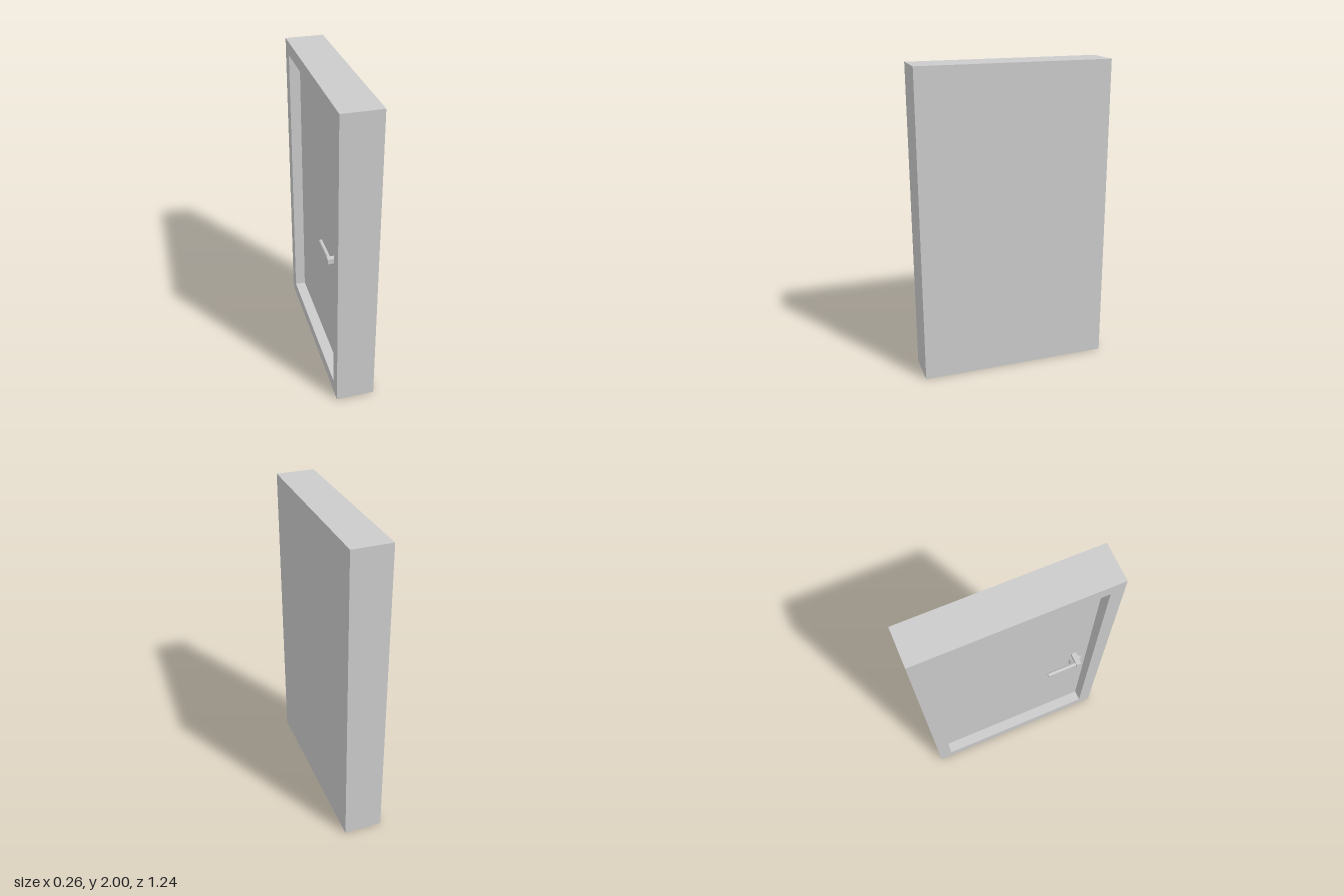
import * as THREE from 'three';

const material = new THREE.MeshStandardMaterial({ color: 0xcccccc });

function part(parent, name, geometry, x, y, z) {
  const mesh = new THREE.Mesh(geometry, material);
  mesh.name = name;
  mesh.position.set(x, y, z);
  parent.add(mesh);
  return mesh;
}

export function createModel() {
  const model = new THREE.Group();
  model.name = 'door';

  const height = 2, width = 1.235, border = 0.086;
  const frontX = -0.117, panelX = -0.047, backX = 0.13;

  // Solid door leaf, flush on the +x side
  part(model, 'doorPanel', new THREE.BoxGeometry(backX - panelX, height, width),
    (panelX + backX) / 2, height / 2, 0);

  // Raised rim around the recessed panel, drawn in z-y and extruded toward -x
  const rectangle = (Type, inset) => {
    const w = width / 2 - inset;
    return new Type([
      new THREE.Vector2(-w, inset), new THREE.Vector2(w, inset),
      new THREE.Vector2(w, height - inset), new THREE.Vector2(-w, height - inset),
    ]);
  };
  const outline = rectangle(THREE.Shape, 0);
  outline.holes.push(rectangle(THREE.Path, border));
  const rim = new THREE.ExtrudeGeometry(outline, { depth: panelX - frontX, bevelEnabled: false });
  rim.rotateY(-Math.PI / 2);
  part(model, 'doorFrame', rim, panelX, 0, 0);

  // Lever handle: square stem out of the panel, with a thin bar along z
  const handle = new THREE.Group();
  handle.name = 'handle';
  model.add(handle);
  const tipX = -0.131;
  part(handle, 'handleStem', new THREE.BoxGeometry(panelX - tipX, 0.032, 0.034),
    (panelX + tipX) / 2, 0.98, 0.433);
  const lever = new THREE.CylinderGeometry(0.012, 0.012, 0.21, 20).rotateX(Math.PI / 2);
  part(handle, 'handleLever', lever, -0.115, 0.978, 0.325);

  // Round lock plate below the handle
  const disc = new THREE.CylinderGeometry(0.047, 0.047, 0.022, 32).rotateZ(Math.PI / 2);
  part(model, 'lockPlate', disc, panelX - 0.011, 0.872, 0.452);

  return model;
}
